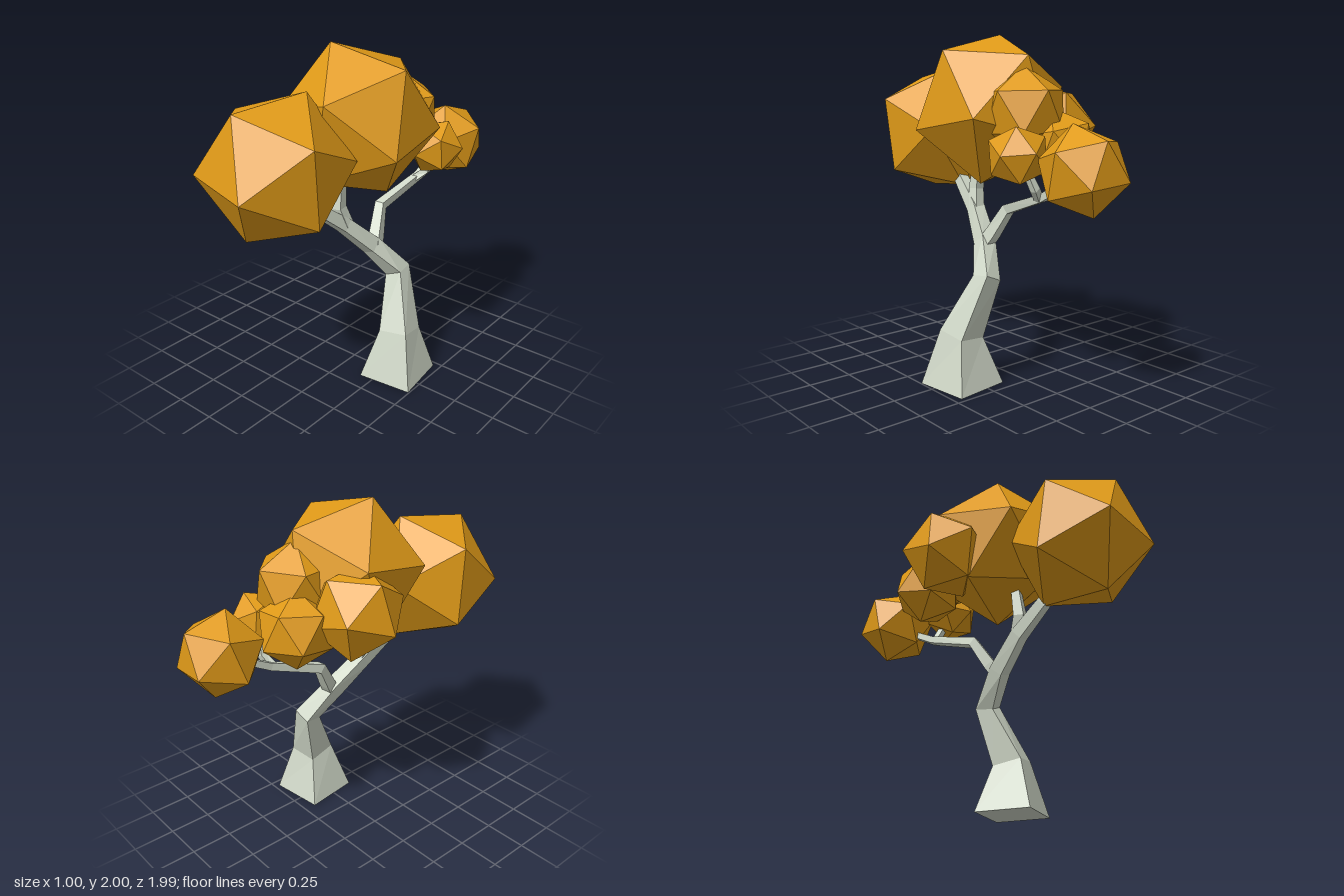
import * as THREE from 'three';

const bark = new THREE.MeshStandardMaterial({ color: 0xd0d8c8, flatShading: true });
const leaf = new THREE.MeshStandardMaterial({ color: 0xe09a18, flatShading: true });

// Four-sided tapering limb through points [x, y, z, corner radius]
function limb(name, pts, startDir) {
  const centres = pts.map(p => new THREE.Vector3(p[0], p[1], p[2]));
  const ref = new THREE.Vector3(0.33, 0, -0.04).normalize();
  const last = pts.length - 1;
  const pos = [], idx = [];
  centres.forEach((c, i) => {
    const t = new THREE.Vector3();
    if (i === 0 && startDir) t.copy(startDir);
    else {
      if (i > 0) t.add(c.clone().sub(centres[i - 1]).normalize());
      if (i < last) t.add(centres[i + 1].clone().sub(c).normalize());
    }
    t.normalize();
    const u = ref.clone().addScaledVector(t, -ref.dot(t)).normalize();
    const v = t.clone().cross(u);
    for (let k = 0; k < 4; k++) {
      const a = Math.PI / 4 + k * Math.PI / 2;
      const p = c.clone()
        .addScaledVector(u, Math.cos(a) * pts[i][3])
        .addScaledVector(v, Math.sin(a) * pts[i][3]);
      pos.push(p.x, p.y, p.z);
      if (i < last) {
        const n = i * 4 + k, m = i * 4 + (k + 1) % 4;
        idx.push(n, m, m + 4, n, m + 4, n + 4);
      }
    }
  });
  const e = last * 4;
  idx.push(0, 2, 1, 0, 3, 2, e, e + 1, e + 2, e, e + 2, e + 3);
  const g = new THREE.BufferGeometry();
  g.setAttribute('position', new THREE.Float32BufferAttribute(pos, 3));
  g.setIndex(idx);
  const flat = g.toNonIndexed();
  flat.computeVertexNormals();
  const mesh = new THREE.Mesh(flat, bark);
  mesh.name = name;
  return mesh;
}

// Icosahedron turned so two neighbouring corners point along a and b
function clump(name, centre, radius, a, b) {
  const va = new THREE.Vector3(...a).normalize();
  const vb = new THREE.Vector3(...b).normalize();
  const y = va.clone().add(vb).normalize();
  const x = vb.clone().sub(va).normalize();
  const z = x.clone().cross(y);
  const mesh = new THREE.Mesh(new THREE.IcosahedronGeometry(radius, 0), leaf);
  mesh.quaternion.setFromRotationMatrix(new THREE.Matrix4().makeBasis(x, y, z));
  mesh.position.set(...centre);
  mesh.name = name;
  return mesh;
}

export function createModel() {
  const tree = new THREE.Group();
  tree.name = 'tree';

  // Trunk leaning back, then bending forward into the front branch
  tree.add(
    limb('trunk', [
      [0.31, 0, -0.035, 0.235], [0.315, 0.3, -0.04, 0.125],
      [0.215, 0.63, -0.145, 0.078], [0.12, 0.81, -0.01, 0.065],
      [0.05, 0.98, 0.16, 0.055], [0.01, 1.12, 0.34, 0.045], [-0.02, 1.3, 0.52, 0.03],
    ], new THREE.Vector3(0, 1, 0)),
    limb('middleBranch', [
      [0.06, 0.96, 0.14, 0.045], [0.03, 1.09, 0.18, 0.045], [0.02, 1.35, 0.15, 0.03],
    ]),
    limb('backBranch', [
      [0.13, 0.8, -0.03, 0.05], [0.11, 0.86, -0.07, 0.048], [0.07, 1.01, -0.16, 0.04],
      [0.11, 1.11, -0.48, 0.03], [0.12, 1.22, -0.7, 0.025],
    ]),
    limb('backTwig', [
      [0.11, 1.1, -0.46, 0.03], [0.17, 1.16, -0.49, 0.028], [0.24, 1.32, -0.46, 0.02],
    ]),
  );

  // Foliage clumps
  tree.add(
    clump('crownFoliage', [0.05, 1.575, 0.02], 0.45, [-0.14, 0.425, 0.08], [0.32, 0.315, 0.02]),
    clump('frontFoliage', [-0.03, 1.43, 0.605], 0.42, [-0.03, 0.33, 0.255], [0.36, 0.19, 0.1]),
    clump('backFoliage', [0.12, 1.28, -0.785], 0.242, [0.01, 0.23, 0.05], [0.12, 0.04, 0.21]),
    clump('sideFoliage', [-0.25, 1.46, -0.16], 0.268, [-0.25, -0.08, 0.04], [-0.18, 0.2, 0]),
    clump('upperBackFoliage', [0.08, 1.56, -0.3], 0.25, [0, 0.24, 0.02], [0.03, 0.1, -0.23]),
    clump('lowerBackFoliage', [-0.06, 1.37, -0.42], 0.22, [-0.09, 0.12, -0.2], [0.04, 0.19, 0.05]),
    clump('smallBackFoliage', [0.25, 1.34, -0.445], 0.172, [0.06, 0.15, -0.05], [0.16, 0.01, -0.05]),
  );
  return tree;
}
